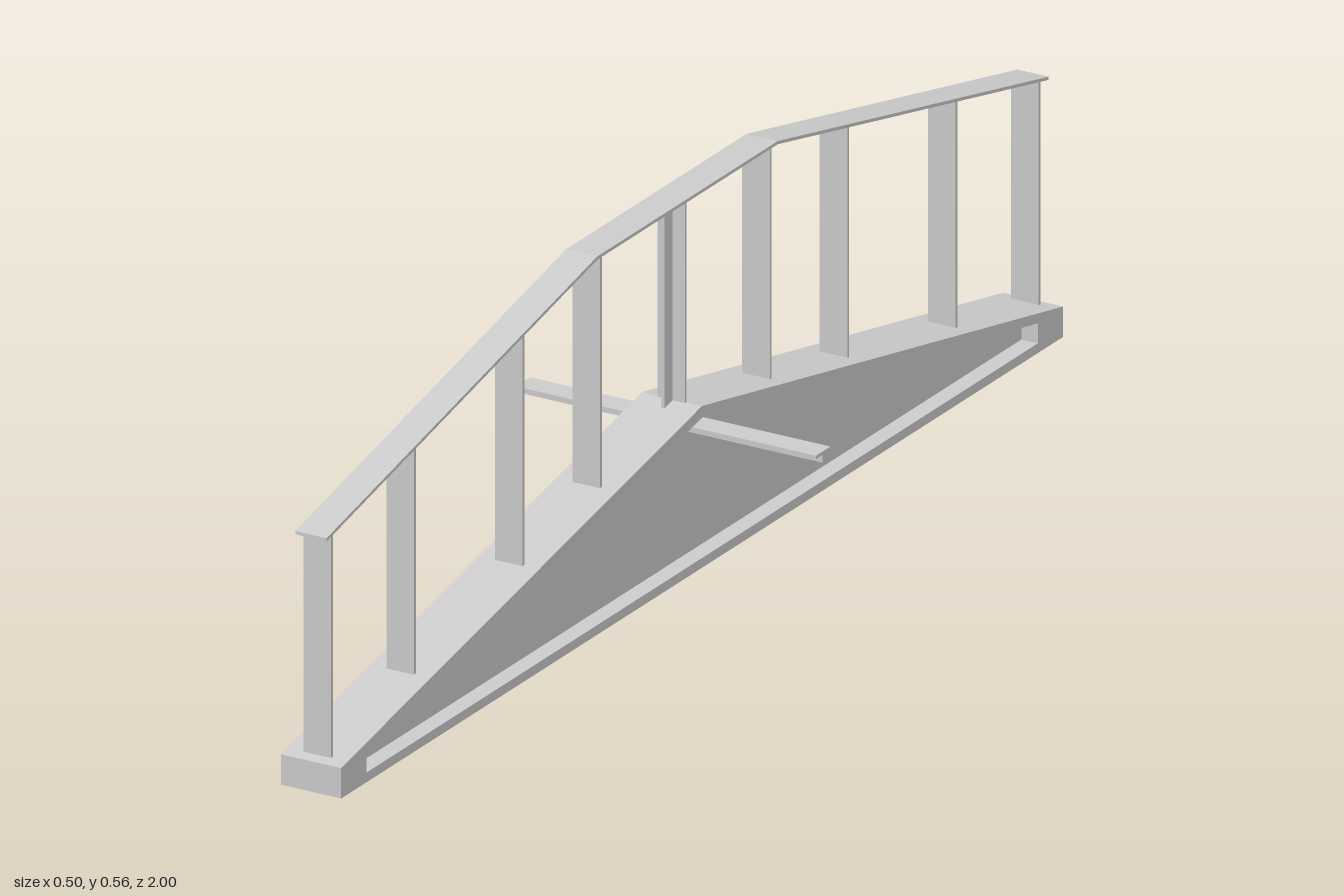
import * as THREE from 'three';

const material = new THREE.MeshStandardMaterial({ color: 0xcccccc });

function add(parent, name, geometry, x = 0, y = 0, z = 0) {
  const mesh = new THREE.Mesh(geometry, material);
  mesh.name = name;
  mesh.position.set(x, y, z);
  parent.add(mesh);
  return mesh;
}

const box = (w, h, d) => new THREE.BoxGeometry(w, h, d);
const points = (list) => list.map(([z, y]) => new THREE.Vector2(z, y));

// Side profile drawn in z and y, extruded across x and centred
function sideExtrude(shape, width) {
  const geometry = new THREE.ExtrudeGeometry(shape, { depth: width, bevelEnabled: false });
  return geometry.translate(0, 0, -width / 2).rotateY(-Math.PI / 2);
}

// Height of the sloping girder top and of the handrail
const girderTop = (z) => 0.25 - 0.203 * Math.abs(z);
const railTop = (z) => 0.565 - 0.168 * Math.max(0, Math.abs(z) - 0.25) / 0.75;

export function createModel() {
  const model = new THREE.Group();
  model.name = 'gabledGirderWithRailing';

  // Girder: flanges and end blocks around a recessed web
  const outline = points([[-1, 0], [1, 0], [1, 0.047], [0, 0.25], [-1, 0.047]]);
  const opening = points([[-0.93, 0.015], [0.93, 0.015], [0.93, 0.046], [0, 0.232], [-0.93, 0.046]]);
  const frame = new THREE.Shape(outline);
  frame.holes.push(new THREE.Path(opening));
  add(model, 'girderFrame', sideExtrude(frame, 0.1));
  add(model, 'girderWeb', sideExtrude(new THREE.Shape(opening), 0.045));

  // Handrail: a thin flat strip bent twice
  const railZ = [-1, -0.25, 0.25, 1];
  const strip = [
    ...railZ.map((z) => [z, railTop(z) - 0.005]),
    ...railZ.map((z) => [z, railTop(z)]).reverse(),
  ];
  add(model, 'handrail', sideExtrude(new THREE.Shape(points(strip)), 0.052));

  // Flat railing posts
  for (const side of [-1, 1]) {
    for (const distance of [0.98, 0.75, 0.45, 0.235]) {
      const z = side * distance;
      const bottom = girderTop(z) - 0.005;
      const top = railTop(z) - 0.003;
      add(model, 'railingPost', box(0.046, top - bottom, 0.005), 0, (top + bottom) / 2, z);
    }
  }

  // Cross-shaped centre post
  const centre = new THREE.Group();
  centre.name = 'centrePost';
  add(centre, 'postPlate', box(0.005, 0.325, 0.05), 0, 0.4, 0);
  add(centre, 'postRib', box(0.046, 0.325, 0.005), 0, 0.4, 0);
  model.add(centre);

  // T-shaped cross arms
  for (const side of [-1, 1]) {
    const arm = new THREE.Group();
    arm.name = side > 0 ? 'leftCrossArm' : 'rightCrossArm';
    add(arm, 'armPlate', box(0.23, 0.005, 0.04), side * 0.135, 0.2195, -0.003);
    add(arm, 'armRib', box(0.23, 0.013, 0.005), side * 0.135, 0.2115, -0.003);
    model.add(arm);
  }

  return model;
}
